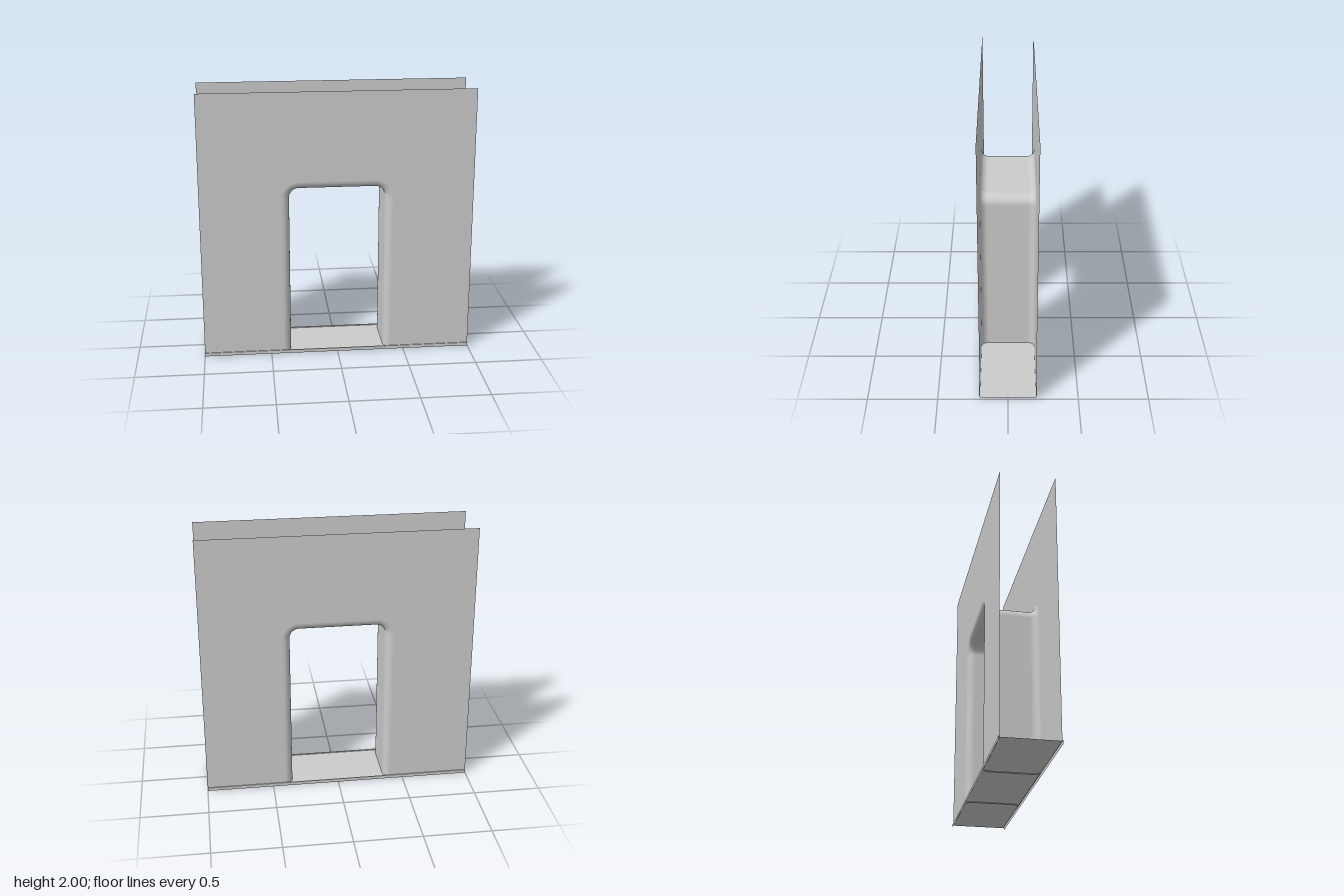
import * as THREE from 'three';

const HALF_W = 1, HEIGHT = 2, HALF_D = 0.2;   // wall size
const DOOR_HALF = 0.35, DOOR_TOP = 1.285;     // clear opening
const CORNER = 0.07, FILLET = 0.055;          // corner and edge rounding
const BASE = 0.012, FLOOR_Y = 0.018;
const LIP_H = 0.025, LIP_D = 0.207;

const material = new THREE.MeshStandardMaterial({ color: 0xcccccc, side: THREE.DoubleSide });

function addMesh(parent, name, geometry) {
  const mesh = new THREE.Mesh(geometry, material);
  mesh.name = name;
  parent.add(mesh);
  return mesh;
}

// Door outline pushed outwards by an offset, from the right foot over the top to the left foot
function doorOutline(offset, steps = 10) {
  const points = [new THREE.Vector2(DOOR_HALF + offset, BASE)];
  const r = CORNER + offset;
  for (const side of [1, -1]) {
    for (let i = 0; i <= steps; i++) {
      const a = (side > 0 ? 0 : Math.PI / 2) + (i / steps) * Math.PI / 2;
      points.push(new THREE.Vector2(
        side * (DOOR_HALF - CORNER) + r * Math.cos(a),
        DOOR_TOP - CORNER + r * Math.sin(a)));
    }
  }
  points.push(new THREE.Vector2(-DOOR_HALF - offset, BASE));
  return points;
}

// Wall sheet with the door cut out of its lower edge
function wallSheet() {
  const shape = new THREE.Shape([
    ...doorOutline(FILLET),
    new THREE.Vector2(-HALF_W, BASE),
    new THREE.Vector2(-HALF_W, HEIGHT),
    new THREE.Vector2(HALF_W, HEIGHT),
    new THREE.Vector2(HALF_W, BASE),
  ]);
  return new THREE.ShapeGeometry(shape);
}

// Door lining: the outline swept through the wall, flaring into both sheets
function doorLining(steps = 8) {
  const profile = [];
  for (let i = 0; i <= steps; i++) {
    const a = (i / steps) * Math.PI / 2;
    profile.push([FILLET * (1 - Math.sin(a)), HALF_D - FILLET + FILLET * Math.cos(a)]);
  }
  profile.push(...profile.map(([o, z]) => [o, -z]).reverse());

  const positions = [], index = [];
  let count = 0;
  profile.forEach(([offset, z], j) => {
    const ring = doorOutline(offset);
    count = ring.length;
    ring.forEach((p) => positions.push(p.x, p.y, z));
    if (j === 0) return;
    for (let i = 0; i < count - 1; i++) {
      const a = (j - 1) * count + i, b = j * count + i;
      index.push(a, a + 1, b, a + 1, b + 1, b);
    }
  });
  const geometry = new THREE.BufferGeometry();
  geometry.setAttribute('position', new THREE.Float32BufferAttribute(positions, 3));
  geometry.setIndex(index);
  geometry.computeVertexNormals();
  return geometry;
}

export function createModel() {
  const group = new THREE.Group();
  group.name = 'doorwayWall';

  addMesh(group, 'doorLining', doorLining());

  // Floor between the two sheets
  const floor = new THREE.PlaneGeometry(2 * HALF_W, 2 * HALF_D).rotateX(-Math.PI / 2);
  addMesh(group, 'floor', floor).position.y = FLOOR_Y;

  // Each face has a sheet and a small base lip with a ledge on top
  for (const [name, turn] of [['front', 0], ['back', Math.PI]]) {
    const face = new THREE.Group();
    face.name = name + 'Face';
    face.rotation.y = turn;
    group.add(face);

    addMesh(face, name + 'Sheet', wallSheet()).position.z = HALF_D;
    addMesh(face, name + 'Lip', new THREE.PlaneGeometry(2 * HALF_W, LIP_H))
      .position.set(0, LIP_H / 2, LIP_D);
    const ledge = new THREE.PlaneGeometry(2 * HALF_W, LIP_D - HALF_D).rotateX(-Math.PI / 2);
    addMesh(face, name + 'Ledge', ledge).position.set(0, LIP_H, (LIP_D + HALF_D) / 2);
  }
  return group;
}
